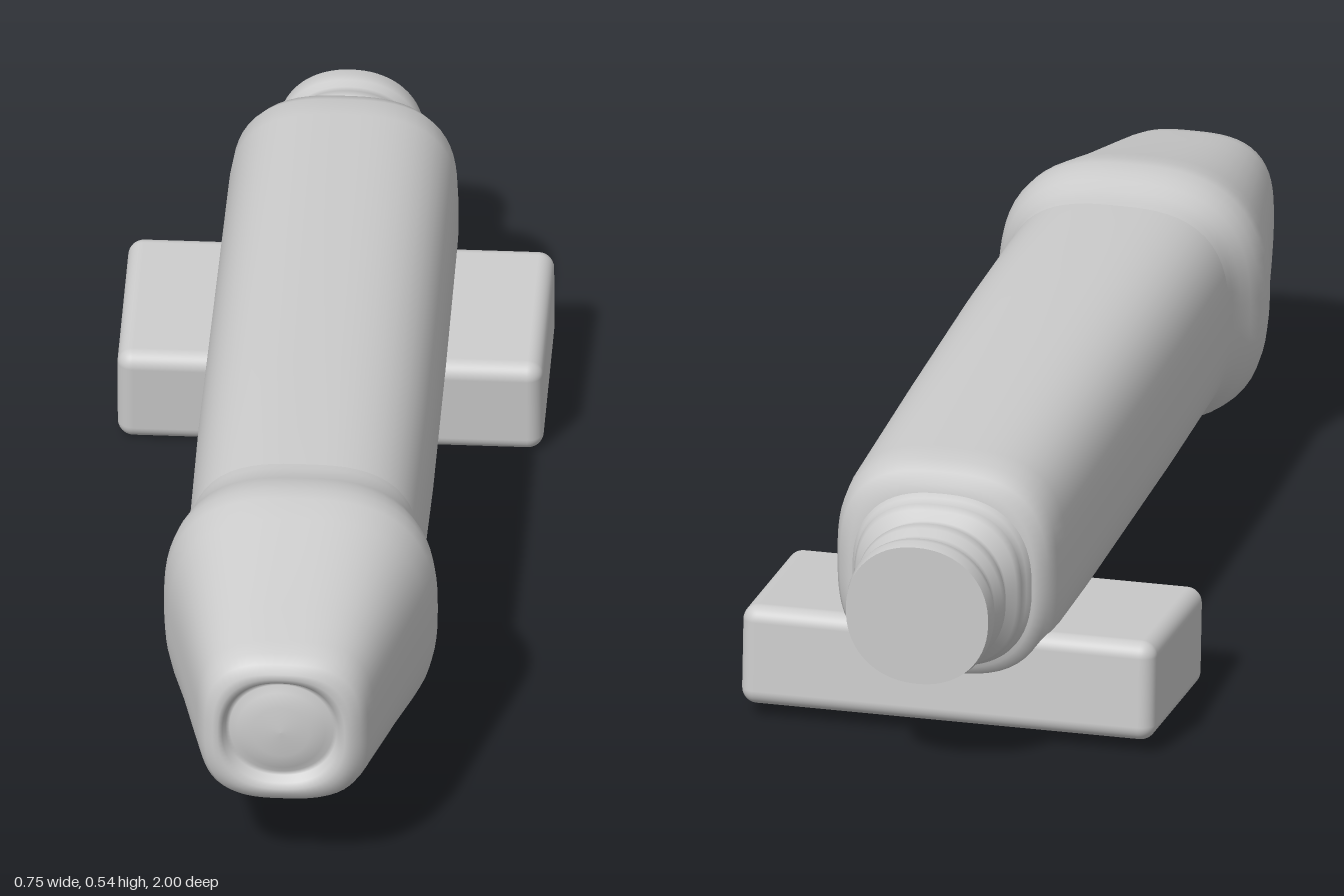
import * as THREE from 'three';
import { RoundedBoxGeometry } from 'three/addons/geometries/RoundedBoxGeometry.js';

const material = new THREE.MeshStandardMaterial({ color: 0xcccccc });

// Skin rounded-square rings, listed from back to front: [z, cx, cy, rx, ry, squareness]
function loft(rings, sides = 72) {
  const pos = [], index = [];
  rings.forEach(([z, cx, cy, rx, ry, n], i) => {
    for (let j = 0; j < sides; j++) {
      const a = (j / sides) * Math.PI * 2, c = Math.cos(a), s = Math.sin(a);
      const r = Math.pow(Math.abs(c) ** n + Math.abs(s) ** n, -1 / n);
      pos.push(cx + rx * r * c, cy + ry * r * s, z);
      if (i === 0) continue;
      const k = (j + 1) % sides, p = (i - 1) * sides, q = i * sides;
      index.push(p + j, p + k, q + k, p + j, q + k, q + j);
    }
  });
  const g = new THREE.BufferGeometry();
  g.setAttribute('position', new THREE.Float32BufferAttribute(pos, 3));
  g.setIndex(index);
  g.computeVertexNormals();
  return g;
}

function add(group, name, geometry) {
  const mesh = new THREE.Mesh(geometry, material);
  mesh.name = name;
  group.add(mesh);
  return mesh;
}

export function createModel() {
  const group = new THREE.Group();

  // Long shaft with rounded rear shoulder
  add(group, 'shaft', loft([
    [-0.825, 0.005, 0.315, 0, 0, 2.6],
    [-0.825, 0.005, 0.315, 0.14, 0.14, 2.6],
    [-0.82, 0.005, 0.317, 0.168, 0.172, 2.7],
    [-0.805, 0.005, 0.318, 0.188, 0.19, 2.8],
    [-0.775, 0.006, 0.319, 0.199, 0.2, 2.9],
    [-0.72, 0.007, 0.319, 0.203, 0.203, 2.9],
    [-0.3, 0.008, 0.32, 0.206, 0.205, 2.9],
    [0.1, 0.008, 0.32, 0.208, 0.206, 2.9],
    [0.44, 0.008, 0.318, 0.205, 0.204, 2.9],
    [0.52, 0.008, 0.316, 0.2, 0.198, 2.9],
  ]));

  // Flared, tapering head with a dished tip and a low central dome
  add(group, 'head', loft([
    [0.42, 0.008, 0.318, 0.203, 0.202, 2.9],
    [0.46, 0.008, 0.317, 0.207, 0.206, 2.9],
    [0.49, 0.008, 0.315, 0.214, 0.213, 2.8],
    [0.515, 0.009, 0.313, 0.226, 0.225, 2.75],
    [0.54, 0.01, 0.312, 0.236, 0.233, 2.7],
    [0.57, 0.01, 0.312, 0.241, 0.238, 2.7],
    [0.6, 0.01, 0.312, 0.238, 0.236, 2.7],
    [0.65, 0.009, 0.311, 0.227, 0.225, 2.7],
    [0.75, 0.008, 0.31, 0.201, 0.199, 2.8],
    [0.86, 0.006, 0.309, 0.175, 0.175, 2.9],
    [0.94, 0.005, 0.308, 0.156, 0.157, 3],
    [0.97, 0.004, 0.308, 0.148, 0.149, 3],
    [0.988, 0.003, 0.307, 0.137, 0.138, 3],
    [0.998, 0.002, 0.307, 0.122, 0.123, 2.8],
    [0.999, 0.001, 0.307, 0.112, 0.113, 2.5],
    [0.994, 0, 0.307, 0.103, 0.103, 2.3],
    [0.978, 0, 0.307, 0.098, 0.096, 2.2],
    [0.976, 0, 0.307, 0.091, 0.089, 2.1],
    [0.984, 0, 0.307, 0.078, 0.077, 2],
    [0.99, 0, 0.307, 0.05, 0.05, 2],
    [0.993, 0, 0.307, 0, 0, 2],
  ]));

  // Ribbed neck stepping down to a flat end
  const neckProfile = [
    [-1, 0], [-1, 0.129], [-1, 0.129], [-0.978, 0.133], [-0.962, 0.131], [-0.95, 0.124],
    [-0.936, 0.125], [-0.92, 0.134], [-0.902, 0.136], [-0.89, 0.129], [-0.878, 0.131],
    [-0.865, 0.146], [-0.85, 0.152], [-0.84, 0.149], [-0.832, 0.156], [-0.815, 0.166], [-0.79, 0.166],
  ];
  add(group, 'neck', loft(neckProfile.map(([z, r]) => [z, 0.004, 0.312, r, r, z < -0.87 ? 2.15 : 2.5])));

  // Wide cross block, tilted slightly nose down
  const foot = add(group, 'crossBlock', new RoundedBoxGeometry(0.75, 0.182, 0.37, 5, 0.028));
  foot.position.set(0, 0.109, -0.622);
  foot.rotation.x = 0.075;

  // Small raised pad on the underside, narrowing downwards
  const padGeometry = new THREE.BoxGeometry(0.16, 0.04, 0.23);
  const p = padGeometry.attributes.position;
  for (let i = 0; i < p.count; i++) {
    if (p.getY(i) < 0) p.setXYZ(i, p.getX(i) * 0.9, p.getY(i), p.getZ(i) * 0.93);
  }
  padGeometry.computeVertexNormals();
  add(group, 'undersidePad', padGeometry).position.set(0.008, 0.108, 0.155);

  return group;
}
